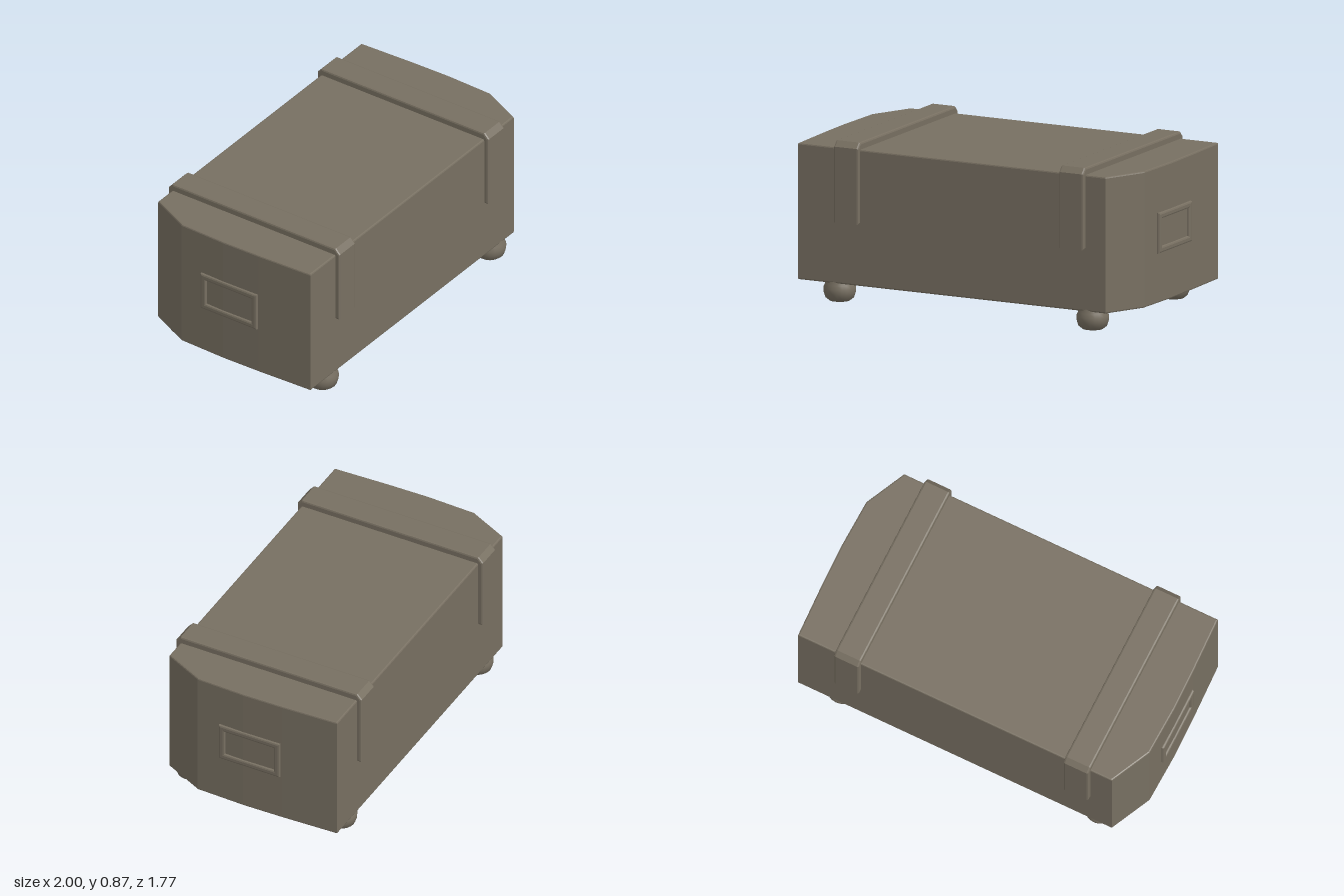
import * as THREE from 'three';

const TURN = 0.4456; // the crate stands turned on the ground

// Closed outline from a list of [x, y] points
const outline = (pts) => new THREE.Shape(pts.map(([x, y]) => new THREE.Vector2(x, y)));

function extrude(shape, depth, bevel) {
  return new THREE.ExtrudeGeometry(shape, {
    depth: depth - 2 * bevel, bevelEnabled: true, bevelSize: bevel,
    bevelThickness: bevel, bevelOffset: -bevel, bevelSegments: 2, curveSegments: 6,
  }).translate(0, 0, bevel);
}

export function createModel() {
  const model = new THREE.Group();
  model.name = 'crate';
  const drab = new THREE.MeshStandardMaterial({ color: 0x776f61 });
  drab.name = 'drab olive brown';

  const add = (parent, name, geometry) => {
    const mesh = new THREE.Mesh(geometry, drab);
    mesh.name = name;
    parent.add(mesh);
    return mesh;
  };

  // Body: half the plan as [x, z], the other half is its half-turn copy
  const half = [[-0.64, 0.885], [1, 0.1], [1, -0.15], [0.89, -0.4], [0.79, -0.6]];
  const plan = [...half, ...half.map(([x, z]) => [-x, -z])];
  const bodyGeo = extrude(outline(plan.map(([x, z]) => [x, -z])), 0.725, 0.008);
  add(model, 'body', bodyGeo.rotateX(-Math.PI / 2).translate(0, 0.103, 0));

  // Everything else follows the turned axes of the crate
  const fittings = new THREE.Group();
  fittings.name = 'fittings';
  fittings.rotation.y = TURN;
  model.add(fittings);

  // Straps: one bent band over the lid and down both long sides
  const band = outline([
    [-0.547, 0.43], [-0.547, 0.835], [-0.52, 0.865], [0.52, 0.865], [0.547, 0.835],
    [0.547, 0.43], [0.495, 0.43], [0.495, 0.8], [-0.495, 0.8], [-0.495, 0.43],
  ]);
  for (const [name, x] of [['rightStrap', -0.735], ['leftStrap', 0.595]]) {
    add(fittings, name, extrude(band, 0.145, 0.01).rotateY(Math.PI / 2).translate(x, 0, 0));
  }

  // Handle frames: a raised rim on each short end
  const w = 0.18, h = 0.108, rim = 0.035;
  const frame = outline([[-w, -h], [w, -h], [w, h], [-w, h]]);
  const iw = w - rim, ih = h - rim;
  frame.holes.push(new THREE.Path([[-iw, -ih], [-iw, ih], [iw, ih], [iw, -ih]]
    .map(([x, y]) => new THREE.Vector2(x, y))));
  for (const side of [-1, 1]) {
    const geo = extrude(frame, 0.045, 0.01).rotateY(side * Math.PI / 2);
    const mesh = add(fittings, side > 0 ? 'leftHandleFrame' : 'rightHandleFrame', geo);
    mesh.position.set(side * 0.94, 0.475, side * -0.015);
  }

  // Feet: squat rounded knobs
  const profile = [[0, 0], [0.055, 0.002], [0.075, 0.018], [0.084, 0.045], [0.086, 0.07],
    [0.078, 0.09], [0.07, 0.12]].map(([r, y]) => new THREE.Vector2(r, y));
  const footGeo = new THREE.LatheGeometry(profile, 20);
  for (const x of [-0.75, 0.745]) {
    for (const z of [-0.43, 0.45]) {
      const name = (z > 0 ? 'front' : 'back') + (x > 0 ? 'Left' : 'Right') + 'Foot';
      add(fittings, name, footGeo).position.set(x, 0, z);
    }
  }

  return model;
}
